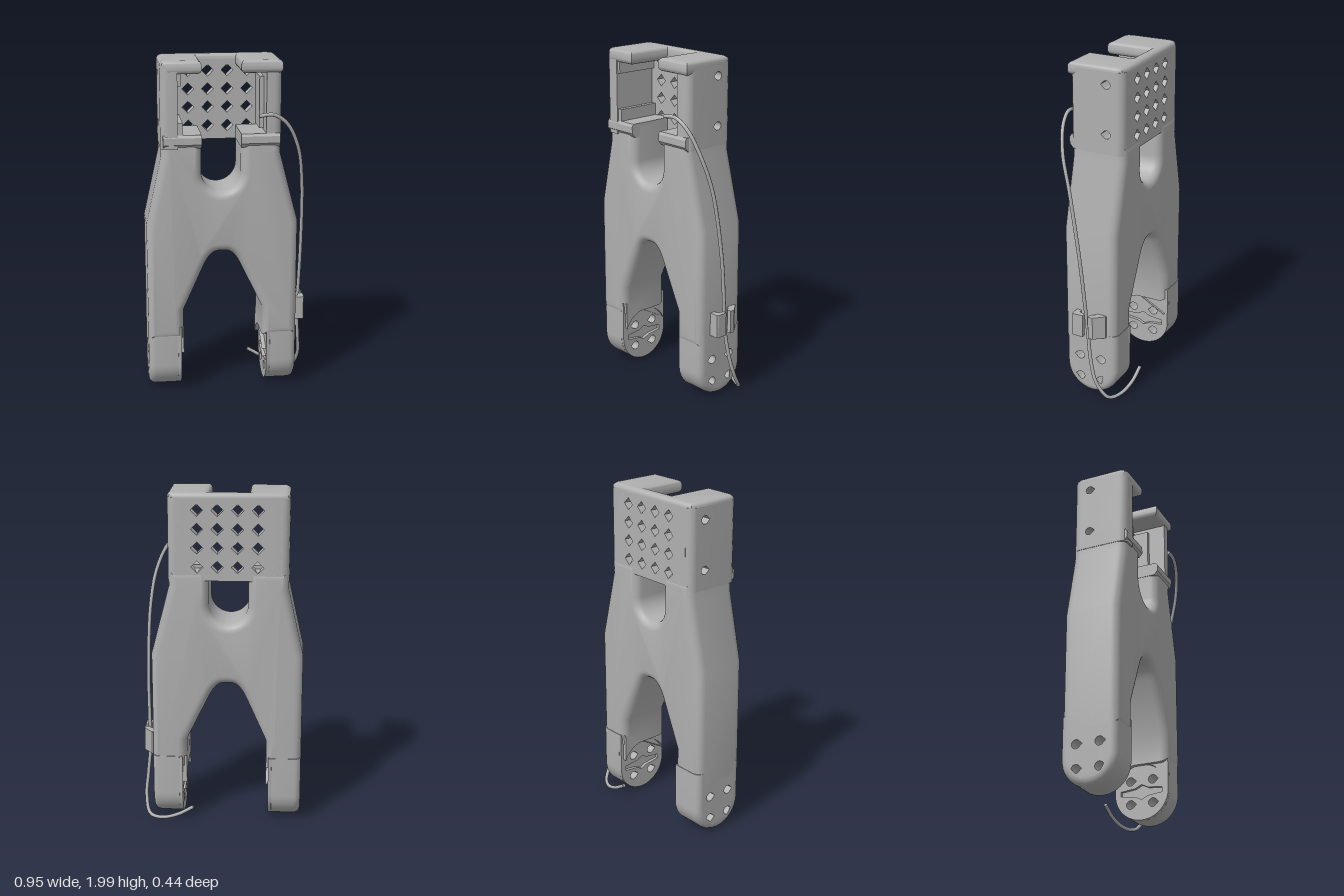
import * as THREE from 'three';
import { toCreasedNormals } from 'three/addons/utils/BufferGeometryUtils.js';

const grey = new THREE.MeshStandardMaterial({ color: 0xb0b0b0 });
grey.name = 'plastic grey';

export function createModel() {
  const model = new THREE.Group();
  model.name = 'forkBracket';

  const add = (name, geo) => {
    const mesh = new THREE.Mesh(geo, grey);
    mesh.name = name;
    model.add(mesh);
    return mesh;
  };
  const box = (name, x0, x1, y0, y1, z0, z1) => {
    const mesh = add(name, new THREE.BoxGeometry(x1 - x0, y1 - y0, z1 - z0));
    mesh.position.set((x0 + x1) / 2, (y0 + y1) / 2, (z0 + z1) / 2);
  };
  const polygon = (pts) => new THREE.Shape(pts.map(([x, y]) => new THREE.Vector2(x, y)));

  // Extrusion with edges rounded by b; total thickness is t, starting at 0
  const rounded = (shape, t, b) => toCreasedNormals(new THREE.ExtrudeGeometry(shape, {
    depth: t - 2 * b, bevelThickness: b, bevelSize: b, bevelOffset: -b,
    bevelSegments: 5, curveSegments: 16,
  }).translate(0, 0, b), 0.6);

  // Extrusion of an x/z plan upwards from y0 to y1
  const plan = (name, pts, y0, y1, b = 0) => {
    const shape = polygon(pts.map(([x, z]) => [x, -z]));
    const geo = b ? rounded(shape, y1 - y0, b)
      : new THREE.ExtrudeGeometry(shape, { depth: y1 - y0, bevelEnabled: false });
    add(name, geo.rotateX(-Math.PI / 2).translate(0, y0, 0));
  };

  // Slab seen from the side, extruded outwards along x, outer rim rounded by b.
  // Rim points are those further than rim from the centre line z = zc, y >= yc.
  const sideSlab = (name, side, shape, xIn, xOut, b, zc, yc, rim = 0.155) => {
    const geo = new THREE.ExtrudeGeometry(shape, { depth: 1, steps: 5, bevelEnabled: false, curveSegments: 14 });
    const p = geo.attributes.position;
    const t = Math.abs(xOut - xIn), uc = -side * zc;
    for (let i = 0; i < p.count; i++) {
      const k = Math.round(p.getZ(i) * 5);
      const a = Math.max(0, k - 1) / 4 * Math.PI / 2;
      const du = p.getX(i) - uc, dv = Math.min(0, p.getY(i) - yc);
      const d = Math.hypot(du, dv);
      if (d > rim) {
        const f = -b * (1 - Math.cos(a)) / d;
        p.setX(i, p.getX(i) + du * f);
        p.setY(i, p.getY(i) + dv * f);
      }
      p.setZ(i, k === 0 ? 0 : t - b + b * Math.sin(a));
    }
    geo.rotateY(side * Math.PI / 2).translate(xIn, 0, 0);
    add(name, toCreasedNormals(geo, 0.6));
  };
  const teardrop = (side, z, y, r) => {
    const u = -side * z, a = side > 0 ? Math.PI : 0;
    const path = new THREE.Path();
    path.absarc(u, y, r, a + Math.PI / 4, a + Math.PI * 1.75, false);
    path.lineTo(u + Math.cos(a) * r * 1.42, y);
    path.closePath();
    return path;
  };

  // Forked main body
  const fork = new THREE.Shape();
  fork.moveTo(-0.475, 0.34);
  fork.lineTo(-0.475, 1.05);
  fork.lineTo(-0.385, 1.45);
  fork.lineTo(-0.385, 1.56);
  fork.lineTo(-0.155, 1.56);
  fork.absarc(-0.04, 1.355, 0.115, Math.PI, 2 * Math.PI, false);
  fork.lineTo(0.075, 1.56);
  fork.lineTo(0.303, 1.56);
  fork.lineTo(0.303, 1.46);
  fork.lineTo(0.41, 1.05);
  fork.lineTo(0.41, 0.34);
  fork.lineTo(0.205, 0.34);
  fork.lineTo(0.205, 0.52);
  fork.lineTo(0.07, 0.8);
  fork.bezierCurveTo(0.03, 0.88, 0, 0.88, -0.035, 0.88);
  fork.bezierCurveTo(-0.07, 0.88, -0.1, 0.88, -0.14, 0.8);
  fork.lineTo(-0.265, 0.52);
  fork.lineTo(-0.265, 0.34);
  add('forkBody', rounded(fork, 0.34, 0.05).translate(0, 0, -0.175));

  // Rounded feet with screw holes and a slotted inner face
  const zc = -0.01, yc = 0.18, R = 0.168;
  const footShape = (side) => {
    const u = -side * zc, s = new THREE.Shape();
    s.moveTo(u + R, 0.42);
    s.lineTo(u - R, 0.42);
    s.absarc(u, yc, R, Math.PI, 2 * Math.PI, false);
    for (const z of [-0.07, 0.07]) for (const y of [-0.07, 0.07])
      s.holes.push(teardrop(side, zc + z, yc + y, 0.026));
    return s;
  };
  for (const [side, xIn, xOut, xPad] of [[-1, -0.28, -0.475, -0.265], [1, 0.23, 0.41, 0.205]]) {
    const xMid = xIn + side * 0.02, u = -side * zc;
    sideSlab('foot', side, footShape(side), xMid, xOut, 0.04, zc, yc);

    // Inner layer with the horn slot
    const inner = footShape(side);
    const slot = new THREE.Path();
    slot.moveTo(u + 0.13, yc - 0.015);
    slot.lineTo(u + 0.13, yc + 0.015);
    slot.lineTo(u + 0.04, yc + 0.025);
    slot.lineTo(u, yc + 0.045);
    slot.lineTo(u - 0.04, yc + 0.025);
    slot.lineTo(u - 0.13, yc + 0.015);
    slot.lineTo(u - 0.13, yc - 0.015);
    slot.lineTo(u - 0.04, yc - 0.025);
    slot.lineTo(u, yc - 0.045);
    slot.lineTo(u + 0.04, yc - 0.025);
    slot.closePath();
    inner.holes.push(slot);
    sideSlab('footInnerPlate', side, inner, xIn, xMid, 0.001, zc, yc);

    // Pad above the round recess
    const pad = new THREE.Shape();
    pad.moveTo(u - 0.15, 0.42);
    pad.absarc(u, yc, 0.165, Math.PI - 0.43, 0.43, true);
    pad.lineTo(u + 0.15, 0.42);
    sideSlab('footPad', side, pad, xPad, xIn, 0.001, zc, yc, 9);
  }

  // Side walls of the tray
  for (const [side, xIn, xOut, zFront] of [[-1, -0.29, -0.388, 0.173], [1, 0.215, 0.306, 0.165]]) {
    const us = [side * 0.17, -side * zFront];
    const wall = polygon([[us[0], 1.5], [us[1], 1.5], [us[1], 1.975], [us[0], 1.975]]);
    for (const y of [1.615, 1.9]) wall.holes.push(teardrop(side, -0.065, y, 0.024));
    sideSlab('trayWall', side, wall, xIn, xOut, 0.045, (zFront - 0.17) / 2, 0);
  }

  // Back plate with a grid of diamond holes
  const plate = polygon([[-0.345, 1.5], [0.26, 1.5], [0.26, 1.97], [-0.345, 1.97]]);
  for (const x of [-0.208, -0.093, 0.022, 0.137]) for (const y of [1.58, 1.69, 1.797, 1.905]) {
    const d = 0.035;
    plate.holes.push(new THREE.Path([[x + d, y], [x, y + d], [x - d, y], [x, y - d]]
      .map(([a, b]) => new THREE.Vector2(a, b))));
  }
  add('backPlate', new THREE.ExtrudeGeometry(plate, { depth: 0.07, bevelEnabled: false }).translate(0, 0, -0.17));

  // Top cap with cable notch
  plan('topCap', [
    [-0.388, -0.125], [-0.375, -0.155], [-0.343, -0.17], [0.261, -0.17], [0.293, -0.155], [0.306, -0.125],
    [0.306, 0.175], [0.07, 0.175], [0.07, -0.1], [-0.155, -0.1], [-0.155, 0.175],
    [-0.343, 0.175], [-0.375, 0.16], [-0.388, 0.13],
  ], 1.925, 2, 0.025);

  // Lower shelves, chamfered along the front
  for (const [x0, x1] of [[-0.375, -0.155], [0.072, 0.295]]) {
    const shelf = polygon([[0.11, 1.5], [-0.155, 1.5], [-0.175, 1.525], [-0.175, 1.565], [-0.165, 1.58], [0.11, 1.58]]);
    add('shelf', new THREE.ExtrudeGeometry(shelf, { depth: x1 - x0, bevelEnabled: false })
      .rotateY(Math.PI / 2).translate(x0, 0, 0));
  }

  // Ledges inside the tray
  box('trayLedge', -0.3, -0.262, 1.57, 1.65, -0.11, 0.165);
  box('trayLedge', -0.3, -0.272, 1.86, 1.94, -0.11, 0.165);
  box('trayRib', 0.19, 0.22, 1.59, 1.89, -0.11, 0.06);

  // Cable clip on the left leg
  plan('cableClip', [[0.4, 0.08], [0.465, 0.08], [0.47, 0.07], [0.47, 0.01], [0.445, 0.01], [0.435, 0.045], [0.4, 0.05]], 0.41, 0.55);
  plan('cableClip', [[0.4, -0.115], [0.42, -0.115], [0.47, -0.055], [0.47, -0.025], [0.445, -0.025], [0.425, -0.05], [0.4, -0.06]], 0.41, 0.55);

  // Cable
  const path = new THREE.CatmullRomCurve3([
    [0.165, 1.69, 0.212], [0.25, 1.695, 0.208], [0.33, 1.64, 0.195], [0.4, 1.5, 0.16], [0.437, 1.29, 0.1],
    [0.45, 0.9, 0.035], [0.445, 0.6, 0.005], [0.44, 0.44, -0.008], [0.455, 0.25, -0.035], [0.463, 0.12, -0.075],
    [0.435, 0.025, -0.14], [0.36, 0.02, -0.18], [0.26, 0.055, -0.205], [0.165, 0.11, -0.21],
  ].map((p) => new THREE.Vector3(...p)));
  add('cable', new THREE.TubeGeometry(path, 90, 0.011, 8));
  for (const [t, s] of [[0, -1], [1, 1]]) {
    const end = add('cableEnd', new THREE.CircleGeometry(0.011, 8));
    end.position.copy(path.getPointAt(t));
    end.lookAt(end.position.clone().addScaledVector(path.getTangentAt(t), s));
  }
  return model;
}
